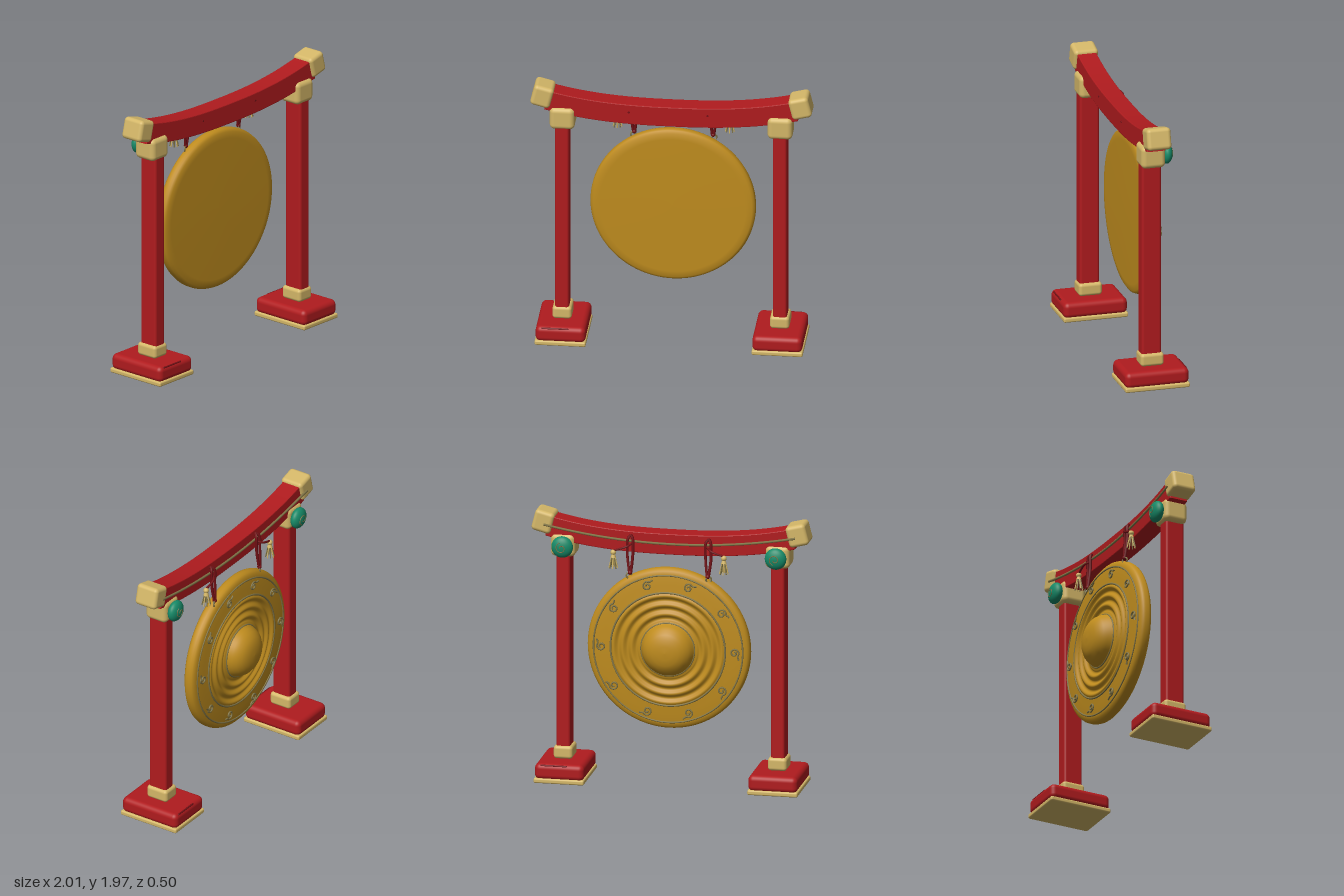
import * as THREE from 'three';
import { RoundedBoxGeometry } from 'three/addons/geometries/RoundedBoxGeometry.js';

const material = (name, color) => {
  const m = new THREE.MeshStandardMaterial({ color });
  m.name = name;
  return m;
};

export function createModel() {
  const red = material('red lacquer', 0xb01b1e);
  const cream = material('pale gold', 0xd4b768);
  const bronze = material('gong bronze', 0xbf8c1e);
  const olive = material('aged brass', 0x837748);
  const cordRed = material('dark red cord', 0x741015);
  const jade = material('jade green', 0x168a68);

  const model = new THREE.Group();
  model.name = 'gongStand';
  const add = (name, geometry, mat, x = 0, y = 0, z = 0, parent = model) => {
    const mesh = new THREE.Mesh(geometry, mat);
    mesh.name = name;
    mesh.position.set(x, y, z);
    parent.add(mesh);
    return mesh;
  };
  const rbox = (w, h, d, r) => new RoundedBoxGeometry(w, h, d, 5, r);
  const v = (x, y, z) => new THREE.Vector3(x, y, z);
  const tube = (points, r, segments = 24) =>
    new THREE.TubeGeometry(new THREE.CatmullRomCurve3(points), segments, r, 6);

  // Upswept beam: a band swept along a curve that is flat in the middle
  const midY = (x) => 1.767 + 0.118 * Math.abs(x) ** 2.5;
  const upper = [], lower = [];
  for (let i = 0; i <= 32; i++) {
    const x = -0.88 + (1.76 * i) / 32;
    const a = Math.atan(0.295 * Math.sign(x) * Math.abs(x) ** 1.5);
    const nx = -Math.sin(a) * 0.07, ny = Math.cos(a) * 0.07;
    upper.push(new THREE.Vector2(x + nx, midY(x) + ny));
    lower.push(new THREE.Vector2(x - nx, midY(x) - ny));
  }
  const beam = new THREE.ExtrudeGeometry(new THREE.Shape([...lower, ...upper.reverse()]), {
    depth: 0.128, bevelThickness: 0.006, bevelSize: 0.006, bevelSegments: 2,
  });
  add('beam', beam, red, 0, 0, -0.055);

  // Rope strung along the back of the beam
  const ropePoints = [];
  for (let i = 0; i <= 12; i++) {
    const x = -0.91 + (1.82 * i) / 12;
    ropePoints.push(v(x, 1.772 + 0.115 * x * x, -0.072 - 0.01 * x * x));
  }
  add('beamRope', tube(ropePoints, 0.009, 64), olive);

  for (const s of [-1, 1]) {
    const side = s > 0 ? 'left' : 'right';

    // Post with its foot and caps
    add(side + 'BasePlate', rbox(0.364, 0.036, 0.476, 0.012), cream, s * 0.773, 0.018, 0.012);
    add(side + 'Base', rbox(0.356, 0.118, 0.47, 0.038), red, s * 0.772, 0.083, 0.012);
    const chip = add(side + 'BaseChip', new THREE.CapsuleGeometry(0.007, 0.18, 4, 8), cordRed, s * 0.81, 0.129, 0.012 - s * 0.222);
    chip.rotation.z = Math.PI / 2;
    add(side + 'Collar', rbox(0.138, 0.095, 0.172, 0.024), cream, s * 0.775, 0.19, 0.018);
    add(side + 'Post', rbox(0.1, 1.5, 0.144, 0.018), red, s * 0.776, 0.93, 0.021);
    add(side + 'PostCap', rbox(0.178, 0.168, 0.178, 0.036), cream, s * 0.776, 1.717, 0.014);
    const end = add(side + 'BeamEnd', rbox(0.145, 0.157, 0.178, 0.028), cream, s * 0.919, 1.882, 0.01);
    end.rotation.z = s * 0.25;

    // Jade medallion on the back of the cap
    const disc = add(side + 'Medallion', new THREE.SphereGeometry(0.078, 32, 20), jade, s * 0.772, 1.715, -0.1);
    disc.scale.z = 0.56;
    const curl = [];
    for (let i = 0; i <= 10; i++) {
      const a = s * i * 0.75, r = 0.01 + 0.0032 * i;
      curl.push(v(s * 0.772 + r * Math.cos(a), 1.715 + r * Math.sin(a), -0.1 - 0.0437 * Math.sqrt(1 - (r / 0.078) ** 2)));
    }
    add(side + 'MedallionCurl', tube(curl, 0.0035, 40), olive);

    // Hanging cord, its hook ring and the peg through the beam
    for (const o of [-1, 1]) {
      add(side + 'HangingCord', tube([
        v(s * 0.282, 1.822, -0.066), v(s * 0.282 + o * 0.016, 1.805, -0.084),
        v(s * 0.283 + o * 0.02, 1.69, -0.088), v(s * 0.281 + o * 0.005, 1.55, -0.1),
      ], 0.0105), cordRed);
    }
    add(side + 'CordKnot', new THREE.SphereGeometry(0.016, 12, 8), cordRed, s * 0.281, 1.555, -0.1);
    const ring = add(side + 'HookRing', new THREE.TorusGeometry(0.02, 0.006, 8, 20), olive, s * 0.288, 1.535, -0.1);
    ring.rotation.y = 0.5;
    const peg = add(side + 'Peg', new THREE.CylinderGeometry(0.008, 0.008, 0.143, 10), cordRed, s * 0.28 - 0.02, 1.79, 0.011);
    peg.rotation.x = Math.PI / 2;

    // Tassel tied to the hanging cord
    add(side + 'TasselCord', tube([
      v(s * 0.275, 1.76, -0.078), v(s * 0.31, 1.745, -0.11), v(s * 0.4, 1.712, -0.108),
    ], 0.008), cordRed);
    const tassel = new THREE.Group();
    tassel.name = side + 'Tassel';
    tassel.position.set(s * 0.4, 1.7, -0.108);
    model.add(tassel);
    add('tasselKnot', new THREE.SphereGeometry(0.02, 14, 10), cream, 0, 0, 0, tassel);
    add('tasselHead', new THREE.CylinderGeometry(0.01, 0.02, 0.03, 12), cream, 0, -0.022, 0, tassel);
    for (let i = 0; i < 8; i++) {
      const a = (i * Math.PI) / 4, c = Math.cos(a), d = Math.sin(a);
      add('tasselStrand', tube([
        v(c * 0.012, -0.03, d * 0.012), v(c * 0.02, -0.065, d * 0.02), v(c * 0.031, -0.115, d * 0.031),
      ], 0.0045, 8), i % 2 ? olive : cream, 0, 0, 0, tassel);
    }
  }

  // Gong: plain dish in front, ripples and a boss behind
  const gong = new THREE.Group();
  gong.name = 'gong';
  gong.position.set(0, 1.015, 0);
  gong.rotation.x = -Math.PI / 2;
  model.add(gong);
  const profile = [
    [0, 0.027], [0.52, 0.029], [0.565, 0.035], [0.583, 0.048], [0.589, 0.064],
    [0.589, 0.09], [0.583, 0.106], [0.57, 0.118], [0.545, 0.126], [0.47, 0.131], [0.42, 0.136],
  ];
  for (let i = 0; i <= 24; i++) {
    profile.push([0.41 - (0.2 * i) / 24, 0.136 + 0.01 * Math.sin((i / 24) * Math.PI * 6) + 0.003 * (i / 24)]);
  }
  profile.push([0.195, 0.138], [0.188, 0.15], [0.178, 0.175], [0.16, 0.203], [0.13, 0.228],
    [0.095, 0.244], [0.05, 0.253], [0, 0.255]);
  add('gongBody', new THREE.LatheGeometry(profile.map(([r, h]) => new THREE.Vector2(r, h)), 96), bronze, 0, 0, 0, gong);

  // Brass rings on the back of the gong
  for (const [r, h, t] of [[0.54, 0.127, 0.006], [0.415, 0.137, 0.007], [0.193, 0.14, 0.006]]) {
    const ring = add('gongRing', new THREE.TorusGeometry(r, t, 8, 96), olive, 0, h, 0, gong);
    ring.rotation.x = Math.PI / 2;
  }

  // Scroll ornaments around the outer band
  const scroll = [];
  for (let i = 0; i <= 12; i++) {
    const a = i * 0.72, r = 0.008 + 0.0022 * i;
    scroll.push(v(r * Math.cos(a), 0, r * Math.sin(a)));
  }
  scroll.push(v(-0.052, 0, 0.032));
  const scrollGeometry = tube(scroll, 0.0065, 56);
  for (let i = 0; i < 10; i++) {
    const a = ((i + 0.5) / 10) * Math.PI * 2;
    const mesh = add('scrollOrnament', scrollGeometry, olive, 0.482 * Math.sin(a), 0.139, 0.482 * Math.cos(a), gong);
    mesh.rotation.y = a;
  }
  return model;
}
